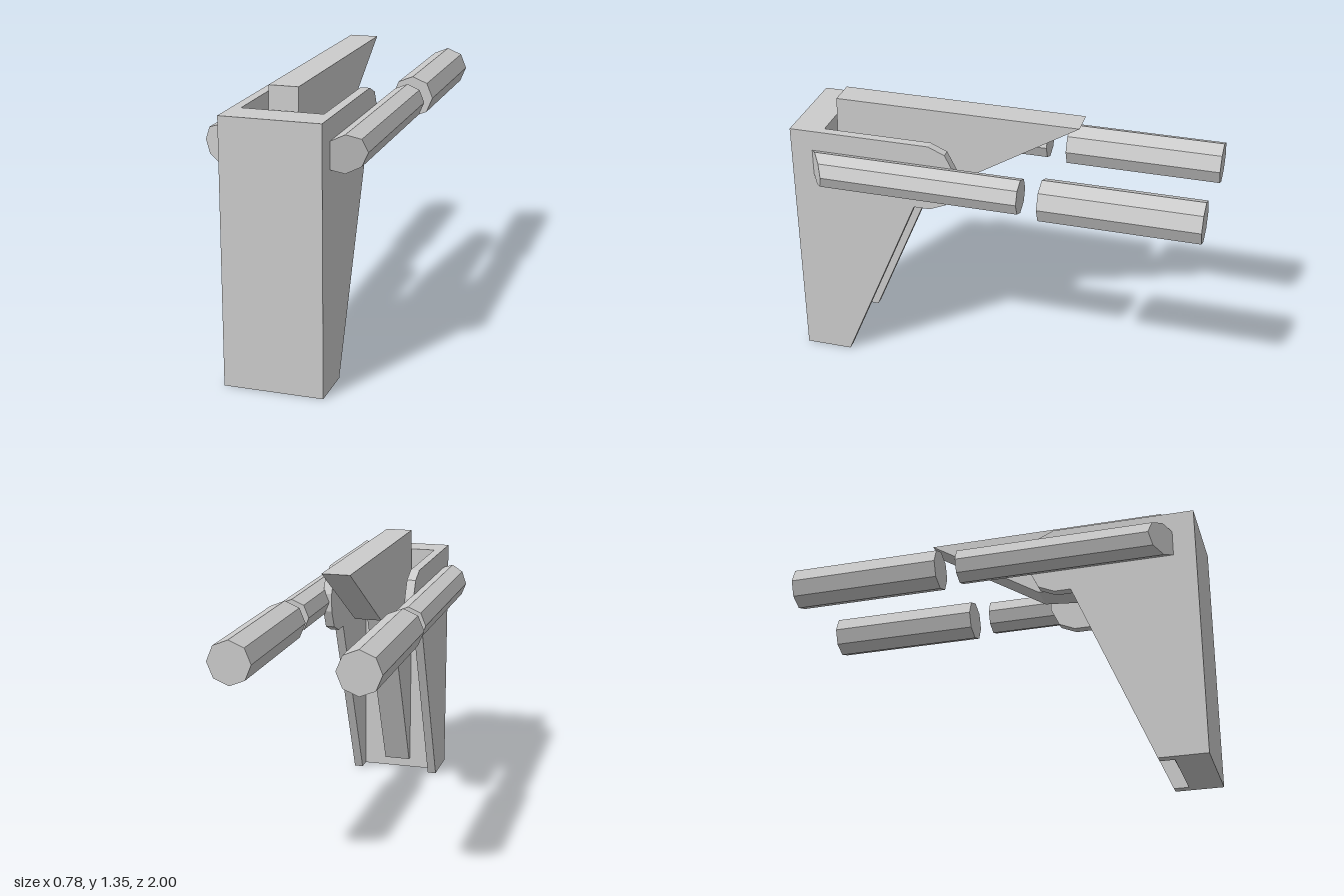
import * as THREE from 'three';

const material = new THREE.MeshStandardMaterial({ color: 0xcccccc, flatShading: true });

function addMesh(group, name, geometry) {
  const mesh = new THREE.Mesh(geometry, material);
  mesh.name = name;
  group.add(mesh);
  return mesh;
}

// Extrudes a side outline given as [z, y] points between x0 and x1
function sidePanel(points, x0, x1) {
  const shape = new THREE.Shape(points.map(([z, y]) => new THREE.Vector2(-z, y)));
  const geometry = new THREE.ExtrudeGeometry(shape, { depth: x1 - x0, bevelEnabled: false });
  return geometry.rotateY(Math.PI / 2).translate(x0, 0, 0);
}

// Eight-sided bar along z, with a corner at the top
function bar(radius, zBack, zFront) {
  return new THREE.CylinderGeometry(radius, radius, zFront - zBack, 8)
    .rotateX(Math.PI / 2)
    .translate(0, 0, (zFront + zBack) / 2);
}

export function createModel() {
  const model = new THREE.Group();
  model.name = 'leverBracket';

  // Front plate closing the channel
  addMesh(model, 'frontPlate', new THREE.BoxGeometry(0.464, 1.24, 0.16).translate(0, 0.62, 0.92));

  // Side plates: tapered leg with a chamfered nose
  const sideOutline = [
    [1, 0], [0.77, 0], [0.39, 0.905], [0.31, 0.905], [0.23, 0.94],
    [0.187, 1.03], [0.187, 1.12], [0.23, 1.205], [0.31, 1.24], [1, 1.24],
  ];

  // Lever: long top arm with a raked tip, and a leg inside the channel
  const leverOutline = [
    [0.82, 1.345], [0.86, 0.05], [0.82, 0.05], [0.41, 0.98],
    [0.19, 1.0], [-0.37, 1.345],
  ];
  addMesh(model, 'lever', sidePanel(leverOutline, -0.068, 0.068));

  for (const side of [1, -1]) {
    const label = side > 0 ? 'left' : 'right';
    const [x0, x1] = side > 0 ? [0.188, 0.232] : [-0.232, -0.188];
    addMesh(model, label + 'SidePlate', sidePanel(sideOutline, x0, x1));

    // Front bar, its front end cut on a slant towards the side plate
    const frontBar = bar(0.086, -0.15, 0.8);
    const pos = frontBar.attributes.position;
    for (let i = 0; i < pos.count; i++) {
      if (pos.getZ(i) > 0.5) pos.setZ(i, 0.8 + (0.086 - side * pos.getX(i)) * 0.66);
    }
    frontBar.computeVertexNormals();
    addMesh(model, label + 'FrontBar', frontBar).position.set(side * 0.287, 1.076, 0);

    // Rear bar, set apart behind the front bar
    addMesh(model, label + 'RearBar', bar(0.102, -1, -0.25)).position.set(side * 0.287, 1.076, 0);
  }
  return model;
}
